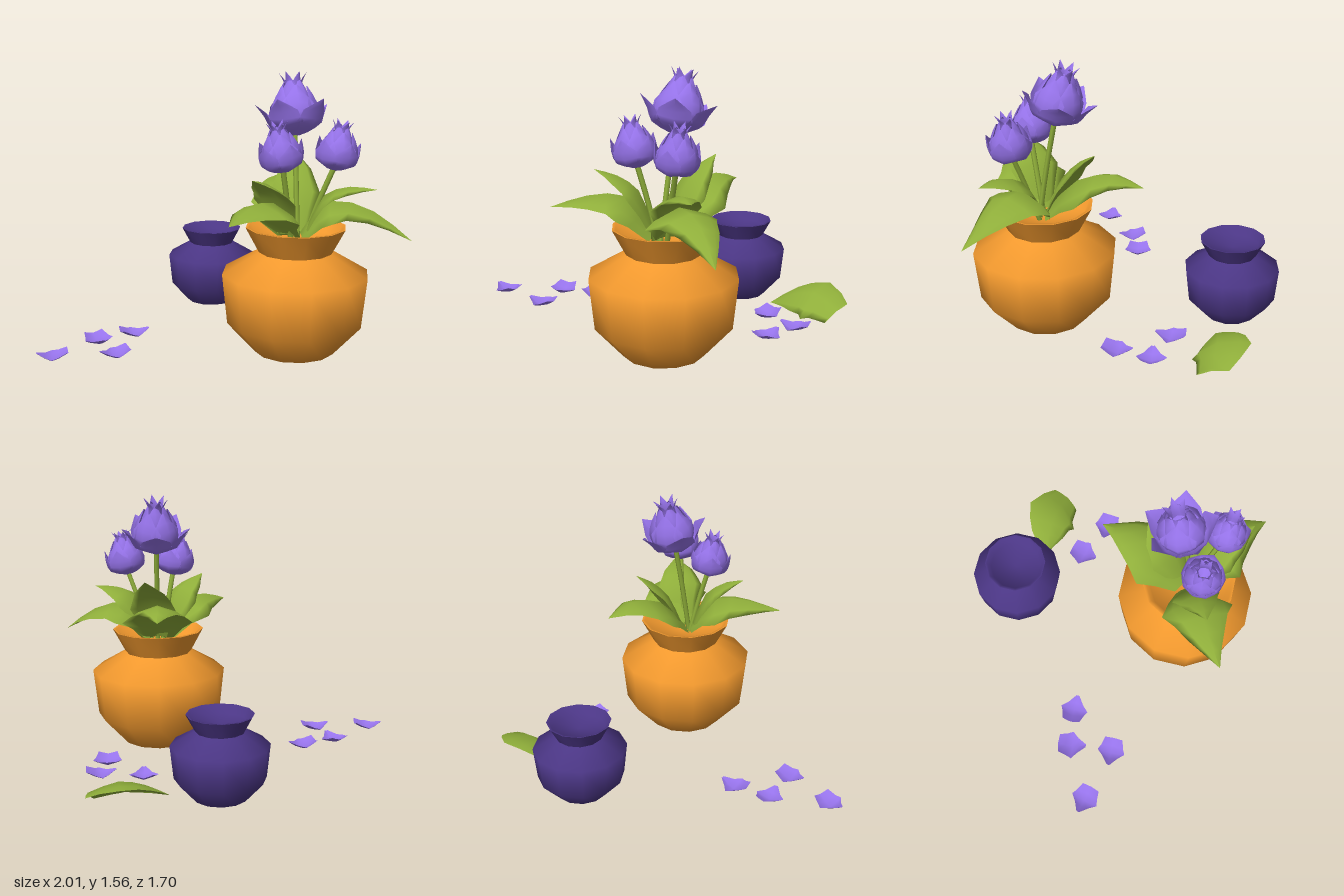
import * as THREE from 'three';
import { toCreasedNormals } from 'three/addons/utils/BufferGeometryUtils.js';

const V = (x, y, z) => new THREE.Vector3(x, y, z);
const UP = V(0, 1, 0);
const paint = (color) => new THREE.MeshStandardMaterial({ color, side: THREE.DoubleSide });
const ORANGE = paint(0xf2992e), INDIGO = paint(0x4b3685), VIOLET = paint(0x9673ea), GREEN = paint(0x8fae3a);

// Cupped blade swept along a curve; widths are half-widths along the path.
// Without thickness it is a single sheet, with thickness a closed lens section.
function blade(path, widths, { cup, side: fixedSide, roll = 0, thick = 0 }) {
  const curve = new THREE.CatmullRomCurve3(path.map((p) => V(...p)));
  const rows = (path.length - 1) * 2, cols = thick ? 8 : 4, span = thick ? Math.PI * 2 : Math.PI;
  const pos = [], index = [];
  for (let i = 0; i <= rows; i++) {
    const t = i / rows, k = t * (widths.length - 1), a = Math.min(Math.floor(k), widths.length - 2);
    const hw = THREE.MathUtils.lerp(widths[a], widths[a + 1], k - a);
    const c = curve.getPoint(t), tan = curve.getTangent(t);
    const side = fixedSide ? fixedSide.clone() : UP.clone().cross(tan).normalize();
    side.applyAxisAngle(tan, roll);
    const n = tan.clone().cross(side).normalize();
    for (let j = 0; j <= cols; j++) {
      const angle = (j / cols) * span, s = Math.cos(angle);
      const lift = cup * Math.abs(s) ** 1.4 + thick * Math.sin(angle);
      const p = c.clone().addScaledVector(side, s * hw).addScaledVector(n, lift * hw);
      pos.push(p.x, p.y, p.z);
      if (i < rows && j < cols) {
        const q = i * (cols + 1) + j, r = q + cols + 1;
        index.push(q, q + 1, r, q + 1, r + 1, r);
      }
    }
  }
  const g = new THREE.BufferGeometry();
  g.setAttribute('position', new THREE.Float32BufferAttribute(pos, 3));
  g.setIndex(index);
  g.computeVertexNormals();
  return g;
}

function add(parent, name, geometry, material) {
  const mesh = new THREE.Mesh(geometry, material);
  mesh.name = name;
  parent.add(mesh);
  return mesh;
}

// Twelve-sided pot with flared rim and a filled neck
function pot(parent, name, material, x, z, scale) {
  const profile = [[0, 0], [0.225, 0], [0.38, 0.17], [0.41, 0.45], [0.205, 0.57], [0.28, 0.71],
    [0.262, 0.71], [0.23, 0.64], [0, 0.63]].map((p) => new THREE.Vector2(...p));
  const mesh = add(parent, name, toCreasedNormals(new THREE.LatheGeometry(profile, 12), 1.25), material);
  mesh.position.set(x, 0.025, z);
  mesh.scale.setScalar(scale);
}

// Bloom: rings of petals, each [name, count, turn, profile (radius, height), widths, cup]
const RINGS = [
  ['middlePetal', 5, 0, [[0.02, 0], [0.13, 0.06], [0.13, 0.16], [0.075, 0.26]], [0.03, 0.09, 0.1, 0.01], 0.45],
  ['innerPetal', 5, 0.6, [[0.02, 0.06], [0.1, 0.12], [0.085, 0.22], [0.045, 0.3]], [0.03, 0.07, 0.065, 0.005], 0.45],
  ['crownPetal', 6, 0.3, [[0.05, 0.18], [0.045, 0.27], [0.075, 0.335]], [0.035, 0.03, 0], 0.4],
];
const OPEN = ['outerPetal', 5, Math.PI, [[0.02, -0.01], [0.13, 0.035], [0.165, 0.1], [0.215, 0.17]], [0.03, 0.1, 0.085, 0], 0.3];
const CLOSED = ['outerPetal', 5, 0.3, [[0.02, -0.01], [0.13, 0.03], [0.155, 0.11], [0.15, 0.2]], [0.03, 0.09, 0.09, 0], 0.35];

function flower(parent, name, base, axis, scale, outer, root) {
  const g = new THREE.Group();
  g.name = name;
  const dir = V(...axis).normalize();
  g.position.set(...base);
  g.quaternion.setFromUnitVectors(UP, dir);
  g.scale.setScalar(scale);
  for (const [part, count, turn, profile, widths, cup] of [outer, ...RINGS]) {
    const geo = blade(profile.map(([r, y]) => [0, y, r]), widths, { cup, side: V(1, 0, 0) });
    for (let i = 0; i < count; i++) add(g, part, geo, VIOLET).rotation.y = turn + (i / count) * Math.PI * 2;
  }
  parent.add(g);
  // Stem
  const top = V(...base);
  const curve = new THREE.CatmullRomCurve3([V(...root), V(...root).lerp(top, 0.55).addScaledVector(UP, 0.02), top.addScaledVector(dir, 0.02)]);
  add(parent, name + 'Stem', new THREE.TubeGeometry(curve, 6, 0.015, 6), GREEN);
}

export function createModel() {
  const model = new THREE.Group();
  model.name = 'pottedFlowers';
  pot(model, 'largePot', ORANGE, 0.417, 0.44, 1);
  pot(model, 'smallPot', INDIGO, 0.09, -0.58, 0.67);

  flower(model, 'tallFlower', [0.42, 1.235, 0.36], [0, 0.33, -0.08], 1, OPEN, [0.42, 0.64, 0.47]);
  flower(model, 'leftFlower', [0.6, 1.07, 0.54], [0.04, 0.26, 0.01], 0.79, CLOSED, [0.45, 0.64, 0.45]);
  flower(model, 'rightFlower', [0.32, 1.065, 0.54], [-0.04, 0.26, 0.01], 0.8, CLOSED, [0.39, 0.64, 0.45]);

  // Broad leaves with drooping edges, spreading over the rim
  const broad = [
    [[0.44, 0.7, 0.46], [0.59, 0.87, 0.5], [0.81, 0.83, 0.58], [1.0, 0.69, 0.68]],
    [[0.39, 0.7, 0.47], [0.26, 0.88, 0.56], [0.11, 0.89, 0.7], [-0.02, 0.84, 0.85]],
    [[0.42, 0.7, 0.42], [0.42, 0.89, 0.23], [0.42, 0.95, 0.03], [0.42, 0.9, -0.145]],
  ];
  for (const path of broad) {
    add(model, 'broadLeaf', blade(path, [0.09, 0.21, 0.11, 0], { cup: -0.35, thick: 0.08 }), GREEN);
  }
  // Steeper upper leaves
  const upper = [
    [[0.46, 0.7, 0.46], [0.56, 0.91, 0.51], [0.68, 0.97, 0.58], [0.81, 0.97, 0.65]],
    [[0.37, 0.7, 0.46], [0.3, 0.92, 0.52], [0.22, 1.0, 0.59], [0.13, 1.04, 0.67]],
    [[0.42, 0.7, 0.41], [0.44, 0.91, 0.31], [0.46, 1.03, 0.2], [0.49, 1.09, 0.11]],
  ];
  for (const path of upper) {
    add(model, 'upperLeaf', blade(path, [0.06, 0.14, 0.09, 0], { cup: -0.3, thick: 0.08 }), GREEN);
  }

  // Fallen leaf, tilted up at the back
  const fallen = [[0.365, 0.03, -0.55], [0.5, 0.1, -0.59], [0.64, 0.13, -0.62], [0.805, 0.075, -0.615]];
  add(model, 'fallenLeaf', blade(fallen, [0, 0.11, 0.175, 0.1], { cup: -0.25, roll: 0.42, thick: 0.08 }), GREEN);

  // Fallen petals: x, z, turn
  const petal = blade([[0, 0.04, -0.08], [0, 0, 0.01], [0, 0.045, 0.095]], [0.055, 0.085, 0.01], { cup: 0.35 });
  const spots = [[0.51, -0.33, 0], [0.76, -0.28, -1.4], [0.725, -0.07, Math.PI], [-0.67, 0.23, 0.4],
    [-0.465, 0.14, 1.8], [-0.92, 0.47, -1.57], [-0.58, 0.47, -1.3]];
  for (const [x, z, turn] of spots) {
    const mesh = add(model, 'fallenPetal', petal, VIOLET);
    mesh.position.set(x, 0.035, z);
    mesh.rotation.y = turn;
  }
  return model;
}
